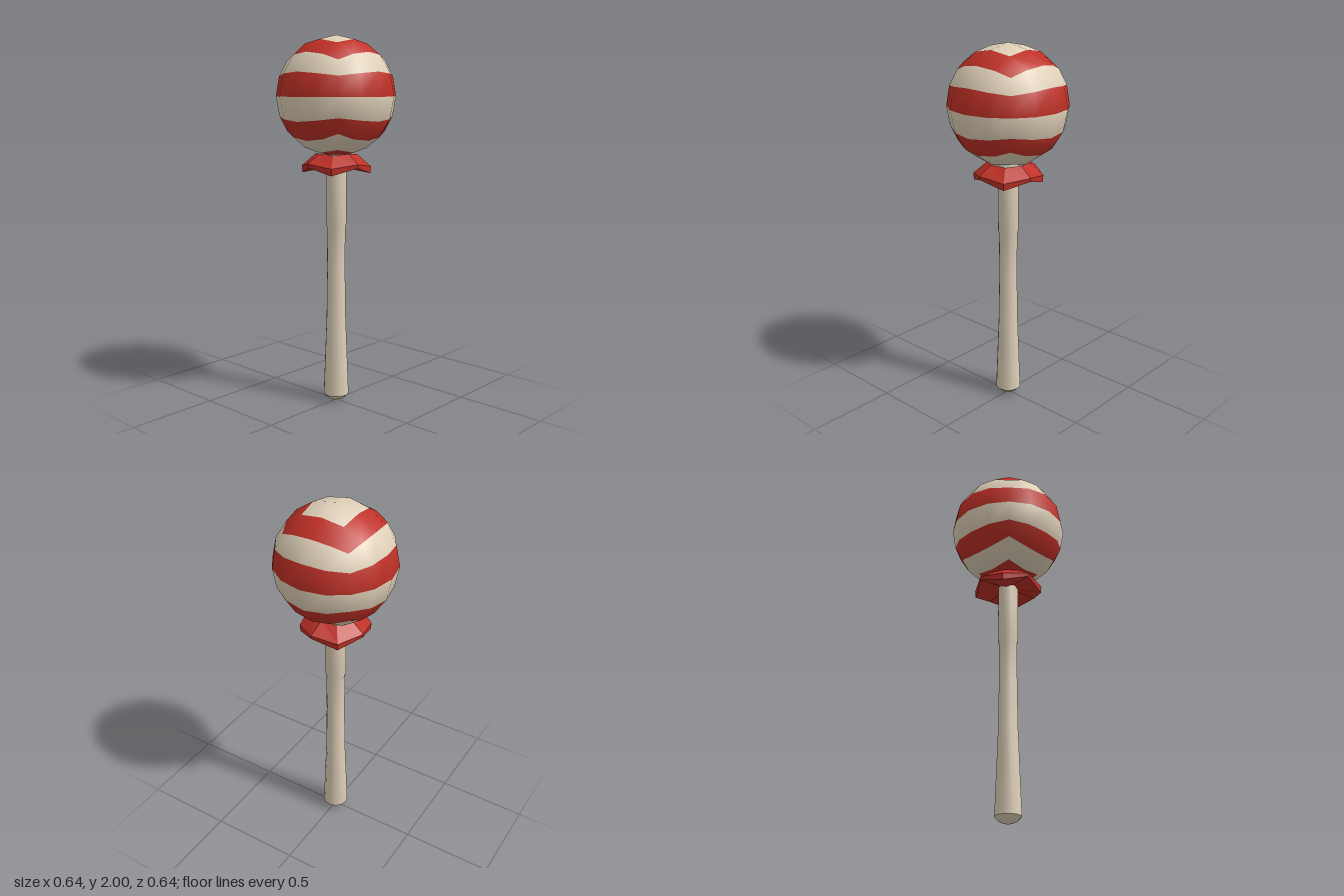
import * as THREE from 'three';
import { toCreasedNormals } from 'three/addons/utils/BufferGeometryUtils.js';

const R = 0.318, CENTRE = 1.684;

// Geometry from a flat position list, with optional normals
function fromPositions(pos, nor) {
  const g = new THREE.BufferGeometry();
  g.setAttribute('position', new THREE.Float32BufferAttribute(pos, 3));
  if (nor) g.setAttribute('normal', new THREE.Float32BufferAttribute(nor, 3));
  else g.computeVertexNormals();
  return g;
}

// Direction of grid corner (i, j), each -2..2, on one face of the ball's cube grid
function gridDirection(i, j, [n, u, v]) {
  const spread = (a, b) => Math.abs(a) === 1 ? a * (Math.abs(b) === 2 ? 0.49 : 0.43) : a / 2;
  return n.clone().addScaledVector(u, spread(i, j)).addScaledVector(v, spread(j, i)).normalize();
}

// Striped ball: six faces of 4 x 4 quads, coloured by rows and rings
function ballParts() {
  const V = (x, y, z) => new THREE.Vector3(x, y, z);
  const up = V(0, 1, 0);
  const faces = [[up, V(0, 0, 1), V(1, 0, 0)], [V(0, -1, 0), V(1, 0, 0), V(0, 0, 1)]];
  for (const n of [V(1, 0, 0), V(-1, 0, 0), V(0, 0, 1), V(0, 0, -1)])
    faces.push([n, up.clone().cross(n), up]);
  const parts = { red: { pos: [], nor: [] }, cream: { pos: [], nor: [] } };
  faces.forEach((face, f) => {
    for (let i = -2; i < 2; i++) for (let j = -2; j < 2; j++) {
      const inner = (i === -1 || i === 0) && (j === -1 || j === 0);
      const red = f === 0 ? !inner : f === 1 ? inner : j === 0 || j === -2;
      const c = [[i, j], [i + 1, j], [i + 1, j + 1], [i, j + 1]].map(([a, b]) => gridDirection(a, b, face));
      const part = red ? parts.red : parts.cream;
      for (const k of [0, 1, 2, 0, 2, 3]) {
        part.pos.push(c[k].x * R, c[k].y * R + CENTRE, c[k].z * R);
        part.nor.push(c[k].x, c[k].y, c[k].z);
      }
    }
  });
  return parts;
}

// Zigzag ruffle: inner collar, wavy rim and underside joined in rings
function ruffleGeometry() {
  const ring = (r, yLow, yHigh) => Array.from({ length: 8 }, (_, k) => {
    const a = THREE.MathUtils.degToRad(35 + 45 * k);
    return [r * Math.sin(a), k % 2 ? yHigh : yLow, r * Math.cos(a)];
  });
  const rings = [ring(0.112, 1.38, 1.385), ring(0.187, 1.315, 1.335),
    ring(0.184, 1.278, 1.315), ring(0.05, 1.305, 1.32)];
  const pos = [];
  for (let s = 0; s < rings.length - 1; s++) for (let k = 0; k < 8; k++) {
    const n = (k + 1) % 8;
    const a = rings[s][k], b = rings[s + 1][k], c = rings[s + 1][n], d = rings[s][n];
    pos.push(...a, ...b, ...c, ...a, ...c, ...d);
  }
  return fromPositions(pos);
}

export function createModel() {
  const model = new THREE.Group();
  const red = new THREE.MeshStandardMaterial({ color: 0xbe3026 });
  red.name = 'red';
  const cream = new THREE.MeshStandardMaterial({ color: 0xdfd0b8 });
  cream.name = 'cream';
  const add = (parent, name, geometry, material) => {
    const mesh = new THREE.Mesh(geometry, material);
    mesh.name = name;
    parent.add(mesh);
  };

  const ball = new THREE.Group();
  ball.name = 'ball';
  const parts = ballParts();
  add(ball, 'redStripes', fromPositions(parts.red.pos, parts.red.nor), red);
  add(ball, 'creamStripes', fromPositions(parts.cream.pos, parts.cream.nor), cream);
  model.add(ball);

  add(model, 'ruffle', ruffleGeometry(), red);

  // Handle flaring gently to a rounded butt
  const profile = [[0, 0], [0.045, 0.015], [0.071, 0.04], [0.054, 0.48], [0.05, 0.75],
    [0.051, 0.98], [0.056, 1.0], [0.056, 1.4]].map(([x, y]) => new THREE.Vector2(x, y));
  add(model, 'handle', toCreasedNormals(new THREE.LatheGeometry(profile, 12), 0.8), cream);
  return model;
}
